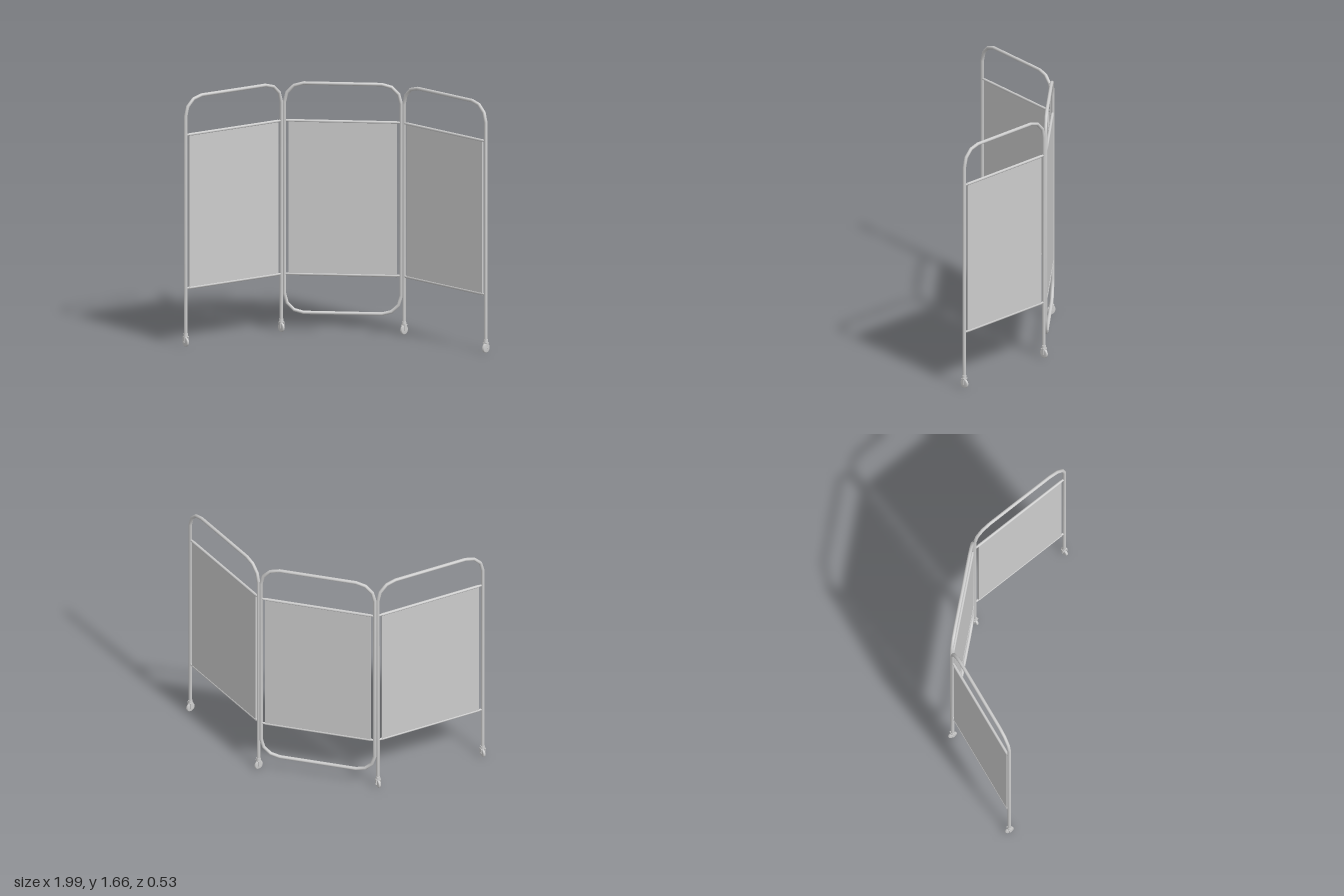
import * as THREE from 'three';

const TUBE_R = 0.0115, CORNER = 0.125, TOP = 1.65;
const metal = new THREE.MeshStandardMaterial({ color: 0xcccccc });
const cloth = new THREE.MeshStandardMaterial({ color: 0xcccccc });

// Path through straight runs, with mitred joints at each point
class Polyline extends THREE.Curve {
  constructor(points, closed) {
    super();
    this.points = points;
    this.closed = closed;
    this.spans = closed ? points.length : points.length - 1;
  }
  at(i) {
    const n = this.points.length;
    return this.points[this.closed ? (i + n) % n : Math.min(Math.max(i, 0), n - 1)];
  }
  getPointAt(u, target = new THREE.Vector3()) {
    return target.copy(this.at(Math.round(u * this.spans)));
  }
  getTangentAt(u, target = new THREE.Vector3()) {
    const i = Math.round(u * this.spans), p = this.at(i);
    const before = p.clone().sub(this.at(i - 1)).normalize();
    const after = this.at(i + 1).clone().sub(p).normalize();
    return target.copy(before.add(after).normalize());
  }
}

function add(parent, name, geometry, material, x = 0, y = 0, z = 0) {
  const mesh = new THREE.Mesh(geometry, material);
  mesh.name = name;
  mesh.position.set(x, y, z);
  parent.add(mesh);
  return mesh;
}

// Quarter bend made of three straight pieces
function bend(cx, cy, startAngle) {
  return [0, 1, 2, 3].map((i) => {
    const a = startAngle - (i * Math.PI) / 6;
    return new THREE.Vector3(cx + CORNER * Math.cos(a), cy + CORNER * Math.sin(a), 0);
  });
}

function frame(half, bottom, closed) {
  const cx = half - CORNER, cyTop = TOP - CORNER, cyLow = bottom + CORNER;
  const top = [...bend(-cx, cyTop, Math.PI), ...bend(cx, cyTop, Math.PI / 2)];
  const points = closed
    ? [...top, ...bend(cx, cyLow, 0), ...bend(-cx, cyLow, -Math.PI / 2)]
    : [new THREE.Vector3(-half, bottom, 0), ...top, new THREE.Vector3(half, bottom, 0)];
  const path = new Polyline(points, closed);
  return new THREE.TubeGeometry(path, path.spans, TUBE_R, 10, closed);
}

// Swivel wheel; its axle lies along the panel
function caster(x) {
  const group = new THREE.Group();
  group.name = 'caster';
  group.position.x = x;
  add(group, 'casterCollar', new THREE.CylinderGeometry(0.014, 0.016, 0.022, 12), metal, 0, 0.077);
  add(group, 'forkCrown', new THREE.BoxGeometry(0.034, 0.006, 0.026), metal, 0, 0.066);
  for (const side of [-1, 1]) {
    add(group, 'forkCheek', new THREE.BoxGeometry(0.004, 0.04, 0.018), metal, side * 0.015, 0.047);
  }
  const s = 0.009;
  const profile = [[0, -s], [0.026, -s], [0.031, -s * 0.5], [0.031, s * 0.5], [0.026, s], [0, s]]
    .map(([r, h]) => new THREE.Vector2(r, h));
  const wheel = add(group, 'wheel', new THREE.LatheGeometry(profile, 20), metal, 0, 0.031);
  wheel.rotation.z = Math.PI / 2;
  const axle = add(group, 'axle', new THREE.CylinderGeometry(0.005, 0.005, 0.038, 8), metal, 0, 0.031);
  axle.rotation.z = Math.PI / 2;
  return group;
}

function panel(name, half, bottom, onWheels) {
  const group = new THREE.Group();
  group.name = name;
  add(group, 'tubeFrame', frame(half, bottom, !onWheels), metal);

  // Fabric with hemmed sleeves around the two rails
  const width = 2 * half - 0.055, low = 0.385, high = 1.4;
  add(group, 'fabric', new THREE.BoxGeometry(width, high - low, 0.012), cloth, 0, (low + high) / 2);
  for (const y of [low, high]) {
    const rail = add(group, 'rail', new THREE.CylinderGeometry(0.0075, 0.0075, 2 * half, 10), metal, 0, y);
    const sleeve = add(group, 'fabricSleeve', new THREE.CylinderGeometry(0.0095, 0.0095, width, 10), cloth, 0, y);
    rail.rotation.z = sleeve.rotation.z = Math.PI / 2;
  }
  if (onWheels) group.add(caster(-half), caster(half));
  return group;
}

export function createModel() {
  const model = new THREE.Group();
  model.name = 'foldingScreen';
  const screen = new THREE.Group();
  screen.name = 'panels';
  screen.position.x = -0.004;
  model.add(screen);

  const centre = panel('centrePanel', 0.379, 0.13, false);
  centre.position.z = -0.25;
  screen.add(centre);

  // Side panels swing forward from the centre frame
  for (const side of [-1, 1]) {
    const wing = panel(side < 0 ? 'rightPanel' : 'leftPanel', 0.375, 0.08, true);
    wing.position.set(side * 0.686, 0, 0);
    wing.rotation.y = -side * Math.atan2(0.48, 0.575);
    screen.add(wing);
  }
  return model;
}
